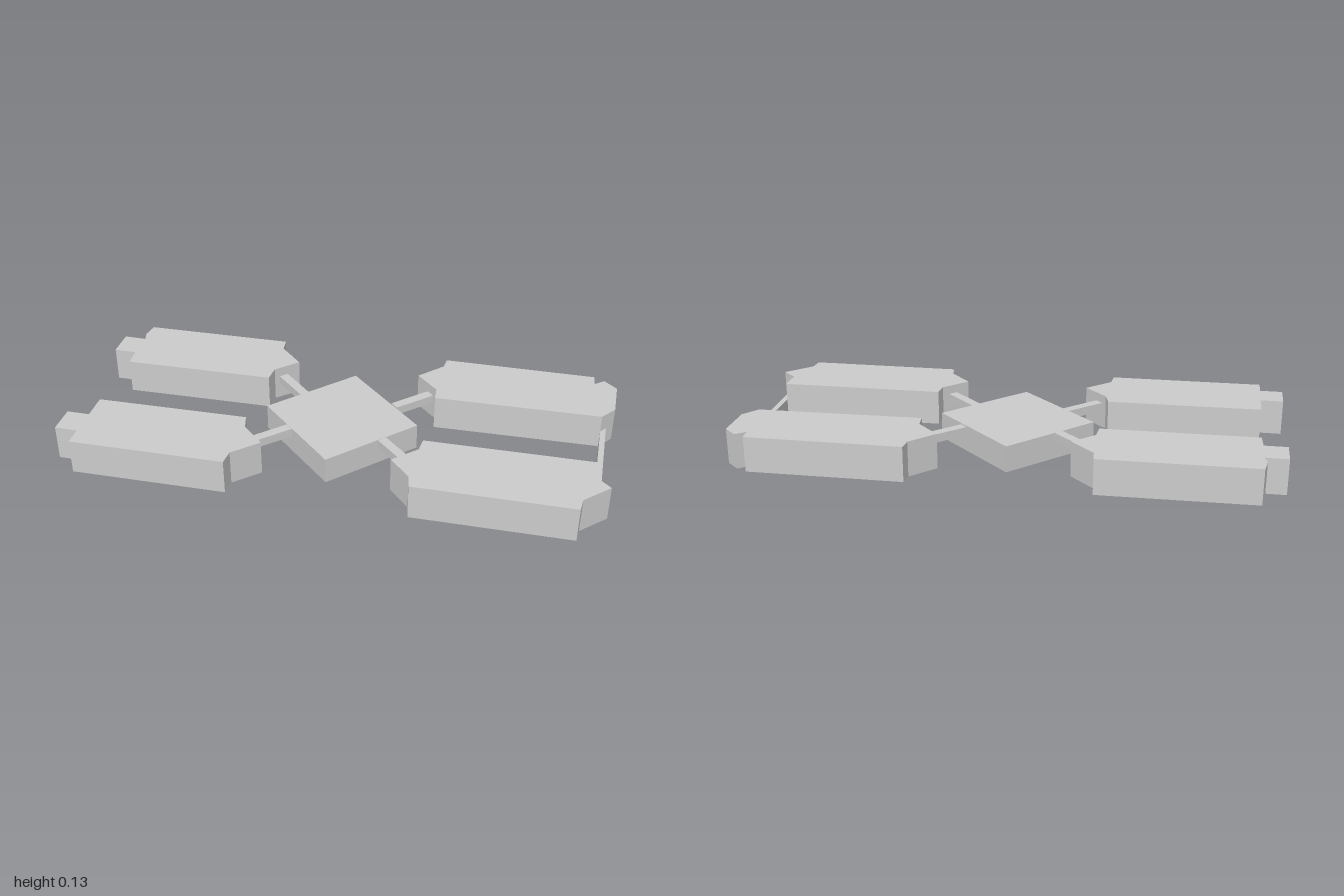
import * as THREE from 'three';

const material = new THREE.MeshStandardMaterial({
  color: 0xcccccc, flatShading: true, side: THREE.DoubleSide,
});

// Shell with a roof and walls but no floor, raised from an [x, z] outline
function shell(name, outline, bottom, top) {
  const shape = new THREE.Shape(outline.map(([x, z]) => new THREE.Vector2(x, -z)));
  const solid = new THREE.ExtrudeGeometry(shape, { depth: top - bottom, bevelEnabled: false });
  solid.rotateX(-Math.PI / 2).translate(0, bottom, 0);
  const pos = solid.attributes.position.array;
  const normal = solid.attributes.normal;
  const kept = [];
  for (let i = 0; i < normal.count; i += 3) {
    if (normal.getY(i) > -0.5) kept.push(...pos.slice(i * 3, i * 3 + 9));
  }
  const geometry = new THREE.BufferGeometry();
  geometry.setAttribute('position', new THREE.Float32BufferAttribute(kept, 3));
  geometry.computeVertexNormals();
  const mesh = new THREE.Mesh(geometry, material);
  mesh.name = name;
  return mesh;
}

// Straight strut between two [x, z] points
function strut(name, a, b) {
  const dx = b[0] - a[0], dz = b[1] - a[1];
  const mesh = new THREE.Mesh(new THREE.BoxGeometry(Math.hypot(dx, dz), 0.033, 0.036), material);
  mesh.position.set((a[0] + b[0]) / 2, 0.083, (a[1] + b[1]) / 2);
  mesh.rotation.y = -Math.atan2(dz, dx);
  mesh.name = name;
  return mesh;
}

// Long pods, each with a pointed inner end and its own outer end
const pods = {
  backRightPod: [
    [-1, -0.32], [-0.915, -0.32], [-0.925, -0.36], [-0.915, -0.42], [-0.345, -0.43], [-0.34, -0.375],
    [-0.25, -0.285], [-0.33, -0.21], [-0.335, -0.145], [-0.91, -0.135], [-0.915, -0.21], [-1, -0.21],
  ],
  frontRightPod: [
    [-1, 0.255], [-0.915, 0.255], [-0.915, 0.15], [-0.34, 0.14], [-0.325, 0.2], [-0.24, 0.285],
    [-0.33, 0.37], [-0.335, 0.43], [-0.915, 0.437], [-0.915, 0.365], [-1, 0.365],
  ],
  backLeftPod: [
    [0.23, -0.295], [0.315, -0.385], [0.32, -0.435], [0.9, -0.44], [0.905, -0.39], [0.94, -0.42],
    [0.99, -0.375], [0.99, -0.225], [0.945, -0.165], [0.32, -0.15], [0.315, -0.21],
  ],
  frontLeftPod: [
    [0.235, 0.28], [0.32, 0.195], [0.325, 0.138], [0.945, 0.13], [0.945, 0.22], [1, 0.27],
    [0.91, 0.36], [0.905, 0.415], [0.325, 0.42], [0.315, 0.365],
  ],
};

export function createModel() {
  const model = new THREE.Group();
  model.name = 'podStation';

  for (const [name, outline] of Object.entries(pods)) model.add(shell(name, outline, 0, 0.133));

  // Diamond hub in the middle
  model.add(shell('hub', [[-0.02, -0.29], [0.28, 0], [0, 0.29], [-0.3, 0]], 0, 0.1));

  // Diagonal struts from the hub to the pods
  for (const [side, sx] of [['Left', 1], ['Right', -1]]) {
    for (const [end, sz] of [['front', 1], ['back', -1]]) {
      const shift = -0.005;
      model.add(strut(`${end}${side}Strut`,
        [sx * 0.175 + shift, sz * 0.115], [sx * 0.295 + shift, sz * 0.23]));
    }
  }

  // Low bar linking the two left pods
  model.add(shell('linkBar', [[0.945, -0.2], [0.965, -0.2], [0.968, 0.25], [0.946, 0.25]], 0, 0.067));

  return model;
}
